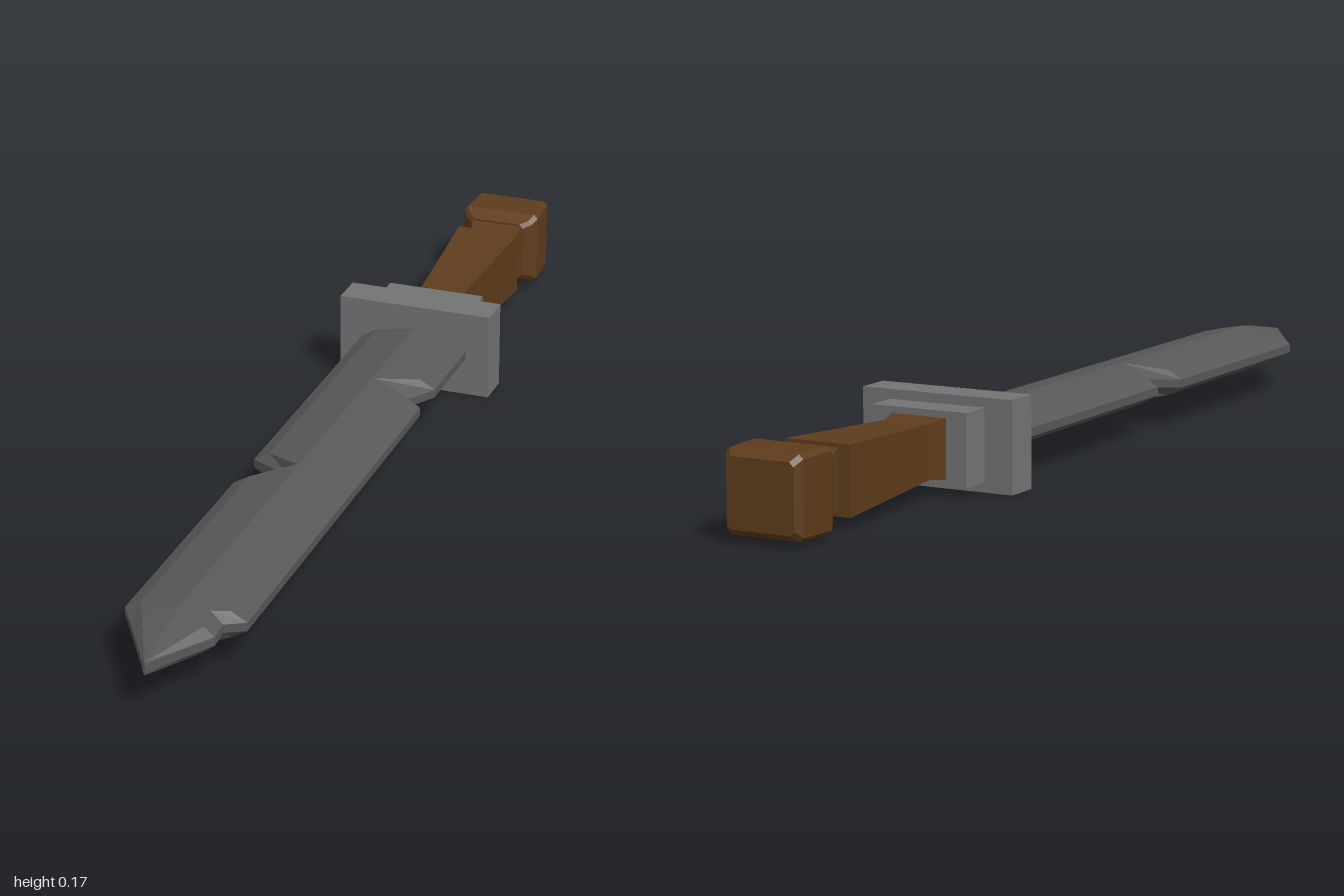
import * as THREE from 'three';

const MID = 0.086; // height of the sword's axis

// Joins rings of [x, y, z] points (counter-clockwise, back to front) and caps both ends.
function loft(rings) {
  const n = rings[0].length;
  const index = [];
  for (let i = 0; i < rings.length - 1; i++) {
    for (let j = 0; j < n; j++) {
      const k = (j + 1) % n;
      const a = i * n + j, b = i * n + k, c = a + n, d = b + n;
      index.push(a, b, d, a, d, c);
    }
  }
  const last = (rings.length - 1) * n;
  for (let j = 1; j < n - 1; j++) {
    index.push(0, j + 1, j);
    index.push(last, last + j, last + j + 1);
  }
  const geo = new THREE.BufferGeometry();
  geo.setAttribute('position', new THREE.Float32BufferAttribute(rings.flat(2), 3));
  geo.setIndex(index);
  const flat = geo.toNonIndexed();
  flat.computeVertexNormals();
  return flat;
}

function addMesh(group, name, geometry, color, z = 0) {
  const material = new THREE.MeshStandardMaterial({ color, flatShading: true });
  const mesh = new THREE.Mesh(geometry, material);
  mesh.name = name;
  mesh.position.set(0, MID, z);
  group.add(mesh);
}

// Blade section: thin edges, sloping shoulders and a central ridge.
function bladeRing([z, edgeL, shoulderL, shoulderR, edgeR, scale = 1]) {
  const slope = (x) => (0.04 - Math.abs(x) * 0.19) * scale;
  const edge = 0.008;
  const top = [
    [edgeR, edge, z],
    [shoulderR, slope(shoulderR), z],
    [0, 0.04 * scale, z],
    [shoulderL, slope(shoulderL), z],
    [edgeL, edge, z],
  ];
  return [...top, ...top.slice().reverse().map(([x, y, w]) => [x, -y, w])];
}

function rectRing([z, hx, hy]) {
  return [[-hx, -hy, z], [hx, -hy, z], [hx, hy, z], [-hx, hy, z]];
}

// Rectangular section with slightly cut corners.
function pommelRing([z, hx, hy]) {
  const c = 0.008;
  return [
    [-hx + c, -hy, z], [hx - c, -hy, z], [hx, -hy + c, z], [hx, hy - c, z],
    [hx - c, hy, z], [-hx + c, hy, z], [-hx, hy - c, z], [-hx, -hy + c, z],
  ];
}

export function createModel() {
  const group = new THREE.Group();
  group.name = 'sword';
  const steel = 0x585858, guardSteel = 0x747474, wood = 0x5e3c1c;

  // Blade with three chipped notches: z, left edge, left shoulder, right shoulder, right edge
  const full = [-0.108, -0.078, 0.078, 0.108];
  addMesh(group, 'blade', loft([
    [-0.37, ...full],
    [-0.165, ...full],
    [-0.11, -0.108, -0.078, 0.003, 0.075],
    [-0.08, ...full],
    [0.23, ...full],
    [0.28, -0.015, -0.004, 0.078, 0.108],
    [0.33, ...full],
    [0.81, ...full],
    [0.83, -0.108, -0.078, 0.05, 0.072],
    [0.875, -0.079, -0.057, 0.055, 0.075, 0.84],
    [1.0, -0.002, -0.001, 0.001, 0.002, 0.3],
  ].map(bladeRing)), steel);

  // Guard and collar
  addMesh(group, 'guard', new THREE.BoxGeometry(0.308, 0.171, 0.07), guardSteel, -0.39);
  addMesh(group, 'collar', new THREE.BoxGeometry(0.194, 0.135, 0.065), guardSteel, -0.4555);

  // Grip widening towards the back, then the neck
  addMesh(group, 'grip', loft([
    [-0.822, 0.064, 0.063],
    [-0.53, 0.045, 0.05],
    [-0.48, 0.057, 0.056],
  ].map(rectRing)), wood);
  addMesh(group, 'neck', loft([
    [-0.89, 0.056, 0.06],
    [-0.85, 0.047, 0.048],
    [-0.82, 0.041, 0.056],
  ].map(rectRing)), wood);

  // Bevelled pommel
  addMesh(group, 'pommel', loft([
    [-1.0, 0.066, 0.062],
    [-0.985, 0.076, 0.074],
    [-0.905, 0.08, 0.075],
    [-0.89, 0.072, 0.066],
    [-0.878, 0.056, 0.06],
  ].map(pommelRing)), wood);

  return group;
}
